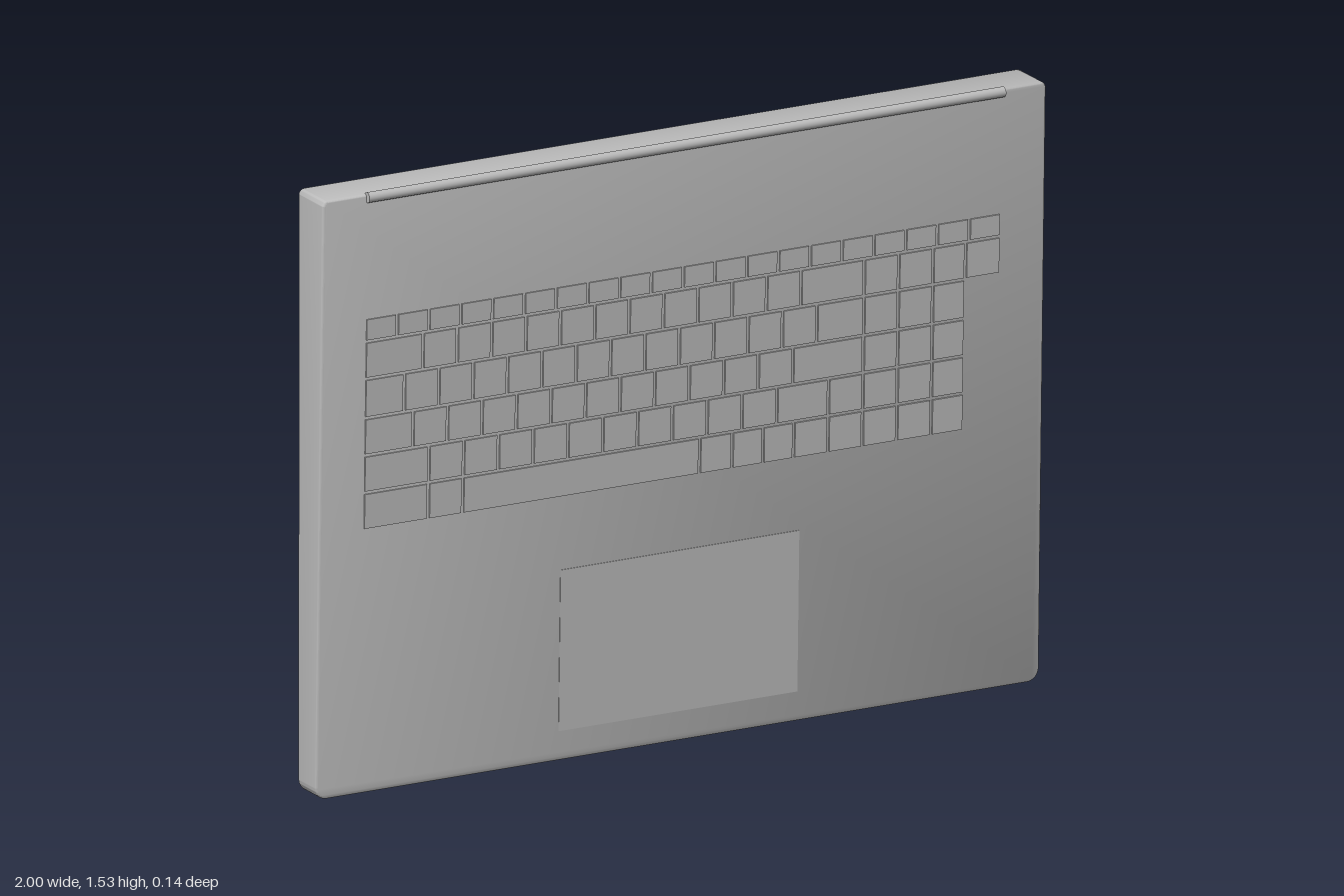
import * as THREE from 'three';
import { toCreasedNormals } from 'three/addons/utils/BufferGeometryUtils.js';

const H = 1.524, BACK = -0.07, Z0 = 0.018, Z1 = 0.055;

// Outline with larger radii at the bottom corners than at the top
function outline(inset) {
  const s = new THREE.Shape(), w = 1 - inset, b = inset, t = H - inset, r = 0.026, q = 0.01;
  s.moveTo(-w + r, b);
  s.lineTo(w - r, b);
  s.absarc(w - r, b + r, r, -Math.PI / 2, 0);
  s.lineTo(w, t - q);
  s.absarc(w - q, t - q, q, 0, Math.PI / 2);
  s.lineTo(-w + q, t);
  s.absarc(-w + q, t - q, q, Math.PI / 2, Math.PI);
  s.lineTo(-w, b + r);
  s.absarc(-w + r, b + r, r, Math.PI, Math.PI * 1.5);
  return s;
}

export function createModel() {
  const root = new THREE.Group();
  root.name = 'laptopBase';
  const grey = new THREE.MeshStandardMaterial({ color: 0xbcbcbc });
  grey.name = 'grey';

  const add = (parent, name, geometry, x, y, z) => {
    const mesh = new THREE.Mesh(geometry, grey);
    mesh.name = name;
    mesh.position.set(x, y, z);
    parent.add(mesh);
    return mesh;
  };

  // Wedge body: rounded slab whose front tilts forward toward the top
  const bevel = 0.006;
  let slab = new THREE.ExtrudeGeometry(outline(bevel), {
    depth: 1 - 0.12, bevelEnabled: true, bevelThickness: 0.06, bevelSize: bevel,
    bevelSegments: 4, curveSegments: 8,
  });
  const p = slab.attributes.position;
  for (let i = 0; i < p.count; i++) {
    const t = p.getZ(i) + 0.06;
    const front = Z0 + (Z1 - Z0) * p.getY(i) / H;
    p.setZ(i, BACK + t * (front - BACK));
  }
  slab = toCreasedNormals(slab, 0.6);
  add(root, 'body', slab, 0, 0, 0);

  // Hinge bar along the top of the deck
  const bar = new THREE.CylinderGeometry(0.013, 0.013, 1.76, 24);
  bar.rotateZ(Math.PI / 2);
  add(root, 'hingeBar', bar, 0, 1.517, 0.058);

  // Everything on the deck follows its slope
  const deck = new THREE.Group();
  deck.name = 'deck';
  deck.position.z = Z0;
  deck.rotation.x = Math.atan((Z1 - Z0) / H);
  root.add(deck);

  // Even steps from a to b, both included
  const steps = (a, b, n) => Array.from({ length: n + 1 }, (_, i) => a + (b - a) * i / n);
  const pad = [0.595, 0.69, 0.78];

  // Rows of keys: top, bottom, and the x of each gap
  const rows = [
    [1.21, 1.15, steps(-0.88, 0.877, 20)],
    [1.15, 1.055, [-0.88, ...steps(-0.72, 0.325, 11), 0.5, ...pad, 0.877]],
    [1.055, 0.955, [-0.88, ...steps(-0.77, 0.37, 12), 0.5, ...pad]],
    [0.955, 0.86, [-0.88, ...steps(-0.745, 0.305, 11), 0.5, ...pad]],
    [0.86, 0.765, [-0.88, ...steps(-0.70, 0.262, 10), 0.405, 0.5, ...pad]],
    [0.765, 0.67, [-0.88, -0.70, -0.605, 0.05, 0.14, 0.225, 0.31, 0.405, 0.5, ...pad]],
  ];
  const keyboard = new THREE.Group();
  keyboard.name = 'keyboard';
  deck.add(keyboard);
  const gap = 0.008, rise = 0.004;
  for (const [top, bottom, xs] of rows) {
    for (let i = 0; i < xs.length - 1; i++) {
      const key = new THREE.BoxGeometry(xs[i + 1] - xs[i] - gap, top - bottom - gap, rise * 2);
      add(keyboard, 'key', key, (xs[i] + xs[i + 1]) / 2, (top + bottom) / 2, 0);
    }
  }

  // Touchpad, almost flush with the deck
  add(deck, 'touchpad', new THREE.BoxGeometry(0.66, 0.41, 0.003), 0, 0.28, 0);

  return root;
}
